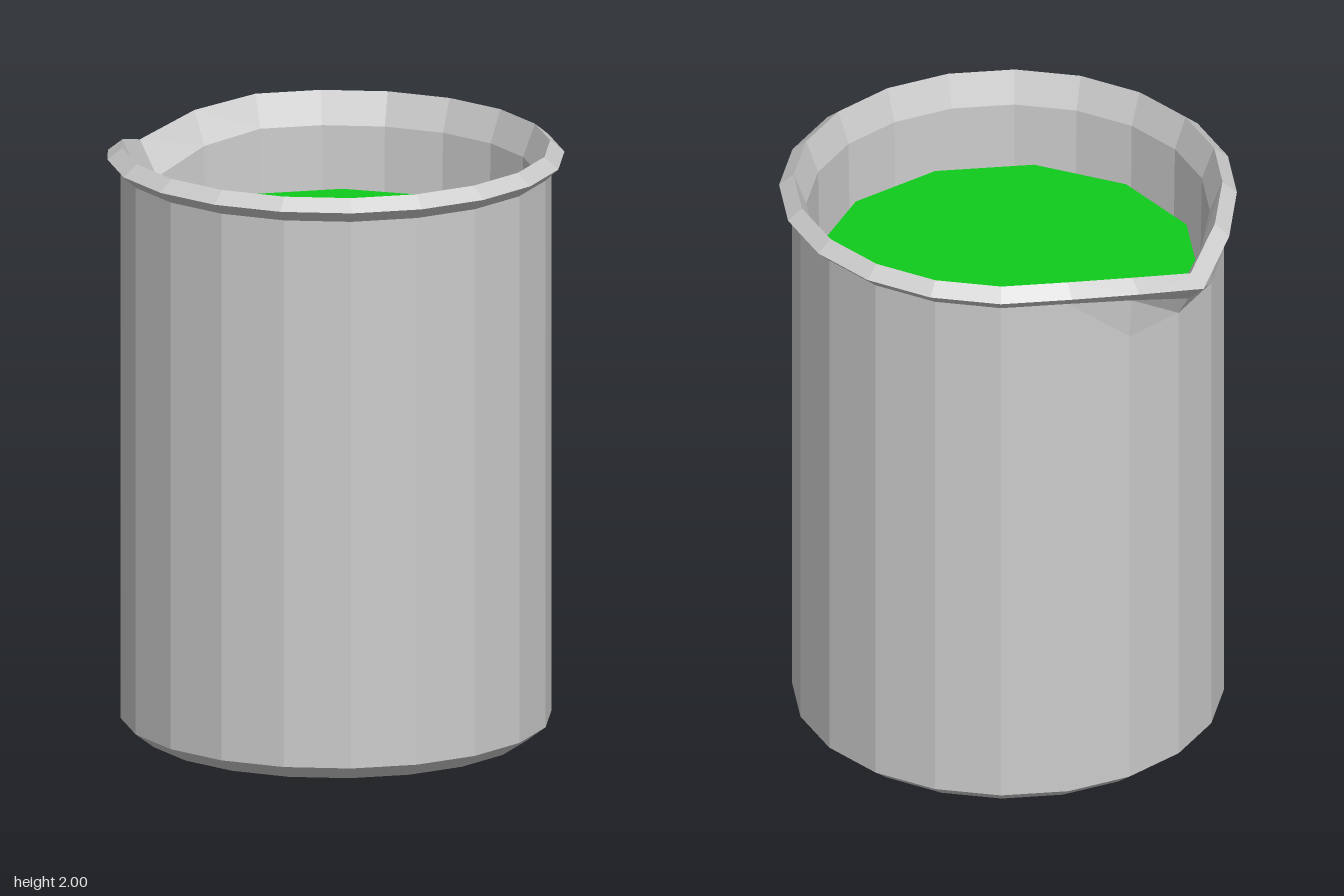
import * as THREE from 'three';

const SIDES = 20;
const CENTER_X = 0.03;

// Closed wall profile: [radius, height, spout push outward, spout drop]
const PROFILE = [
  [0, 0, 0, 0],
  [0.65, 0, 0, 0],          // underside edge
  [0.715, 0.05, 0, 0],      // bottom bevel
  [0.715, 1.74, 0, 0],      // root of the spout
  [0.715, 1.92, 0.04, 0.11], // under the lip
  [0.758, 1.96, 0.062, 0.09], // outer edge of the lip
  [0.71, 2, 0.055, 0.09],   // top of the lip
  [0.668, 1.89, 0.03, 0.1], // inner bevel
  [0.64, 0.07, 0, 0],       // inner floor edge
  [0, 0.07, 0, 0],
];

// Lathe the vessel, then pull the lip out and down on the -x side
function vesselGeometry() {
  const geo = new THREE.LatheGeometry(PROFILE.map(([r, y]) => new THREE.Vector2(r, y)), SIDES);
  const pos = geo.attributes.position;
  for (let i = 0; i < pos.count; i++) {
    const [r, y, push, drop] = PROFILE[i % PROFILE.length];
    const x = pos.getX(i), z = pos.getZ(i);
    const angle = Math.abs(Math.atan2(z, -x)); // 0 at the spout tip
    const t = Math.max(0, 1 - angle / (Math.PI / 5));
    const w = t * t * (1.6 - 0.6 * t);
    const k = r > 0 ? (r + push * w) / r : 1;
    pos.setXYZ(i, x * k, y - drop * w, z * k);
  }
  geo.computeVertexNormals();
  return geo;
}

function part(name, geometry, color) {
  const mesh = new THREE.Mesh(geometry, new THREE.MeshStandardMaterial({ color, flatShading: true }));
  mesh.name = name;
  return mesh;
}

export function createModel() {
  const model = new THREE.Group();
  model.name = 'beaker';

  const vessel = part('vessel', vesselGeometry(), 0xcccccc);

  // Liquid filling the inside
  const liquid = part('liquid', new THREE.CylinderGeometry(0.638, 0.63, 1.6, 12), 0x0fcc1c);
  liquid.position.y = 0.88;

  model.add(vessel, liquid);
  for (const mesh of model.children) mesh.position.x = CENTER_X;
  return model;
}
